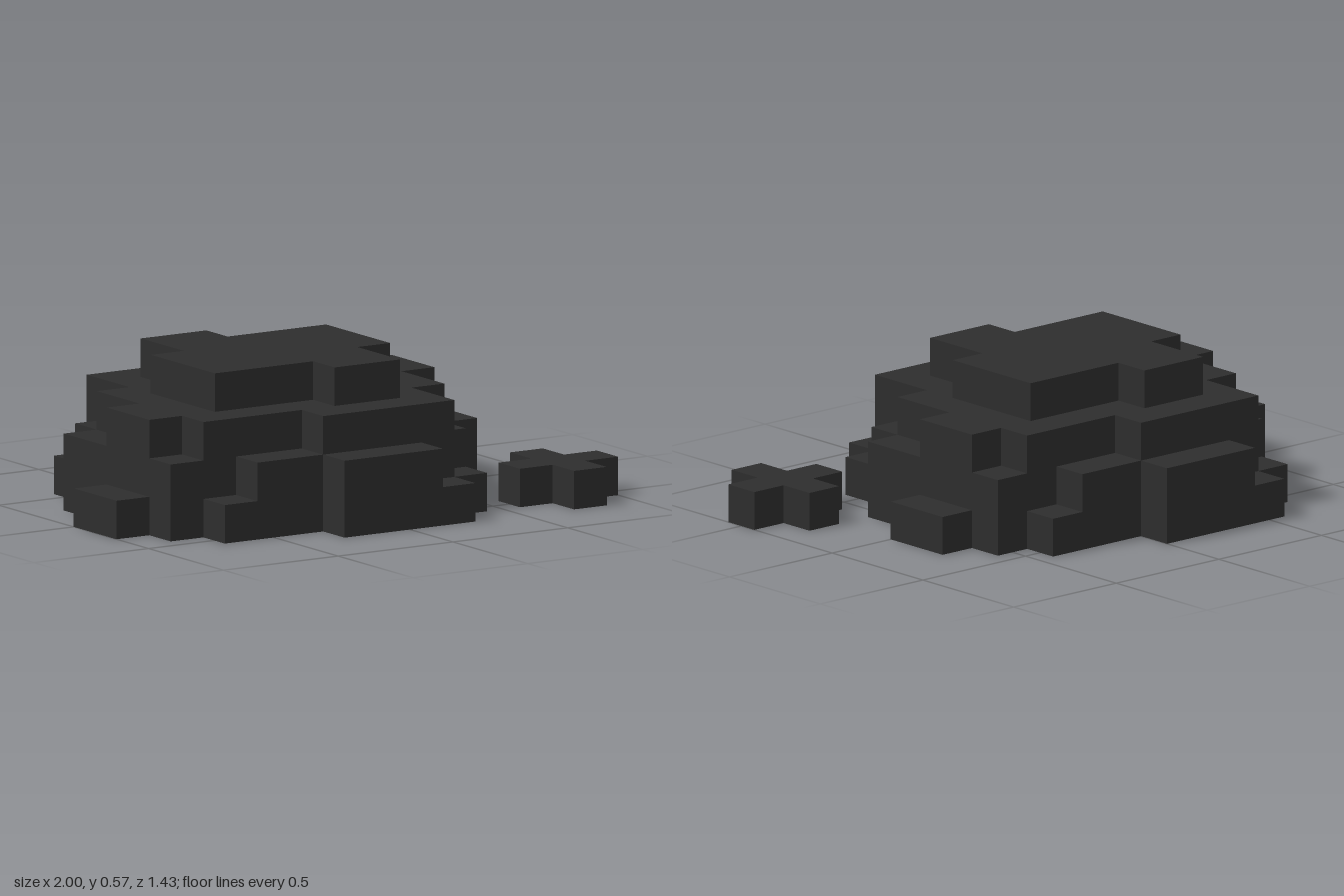
import * as THREE from 'three';

const U = 1 / 7; // size of one block

// Stepped slab: each row is [left, right] in blocks, one block deep, from zStart toward the front
function slab(name, level, zStart, rows, material) {
  const points = [];
  rows.forEach(([, right], i) => {
    points.push([right, zStart + i], [right, zStart + i + 1]);
  });
  for (let i = rows.length - 1; i >= 0; i--) {
    points.push([rows[i][0], zStart + i + 1], [rows[i][0], zStart + i]);
  }
  // drop repeated corners where neighbouring rows share an edge
  const outline = points.filter((p, i) => {
    const q = points[(i + 1) % points.length];
    return p[0] !== q[0] || p[1] !== q[1];
  });
  const shape = new THREE.Shape(outline.map(([x, z]) => new THREE.Vector2(x * U, -z * U)));
  const geometry = new THREE.ExtrudeGeometry(shape, { depth: U, bevelEnabled: false });
  geometry.rotateX(-Math.PI / 2);
  const mesh = new THREE.Mesh(geometry, material);
  mesh.name = name;
  mesh.position.y = level * U;
  return mesh;
}

export function createModel() {
  const charcoal = new THREE.MeshStandardMaterial({ color: 0x2d2d2d });
  charcoal.name = 'charcoal';
  const model = new THREE.Group();
  model.name = 'blockMound';

  // Mound, four layers from the ground up
  const mound = new THREE.Group();
  mound.name = 'mound';
  mound.add(
    slab('baseLayer', 0, -5, [[-4, 0], [-5, 3], [-5, 4], [-6, 5], [-6, 5],
      [-7, 4], [-7, 4], [-6, 3], [-5, 3], [-2, 2]], charcoal),
    slab('lowerLayer', 1, -5, [[-3, 0], [-4, 2], [-5, 4], [-6, 4], [-6, 4],
      [-6, 4], [-6, 4], [-6, 3], [-4, 2], [-2, 1]], charcoal),
    slab('upperLayer', 2, -4, [[-4, 0], [-4, 3], [-5, 4], [-5, 4],
      [-6, 3], [-6, 3], [-5, 2], [-2, 2]], charcoal),
    slab('topLayer', 3, -3, [[-3, -1], [-3, 2], [-4, 2], [-4, 2], [-4, 1], [-1, 1]], charcoal)
  );

  // Small cross-shaped piece lying beside the mound
  model.add(mound, slab('looseCross', 0, 2, [[5, 6], [4, 7], [5, 6]], charcoal));
  return model;
}
